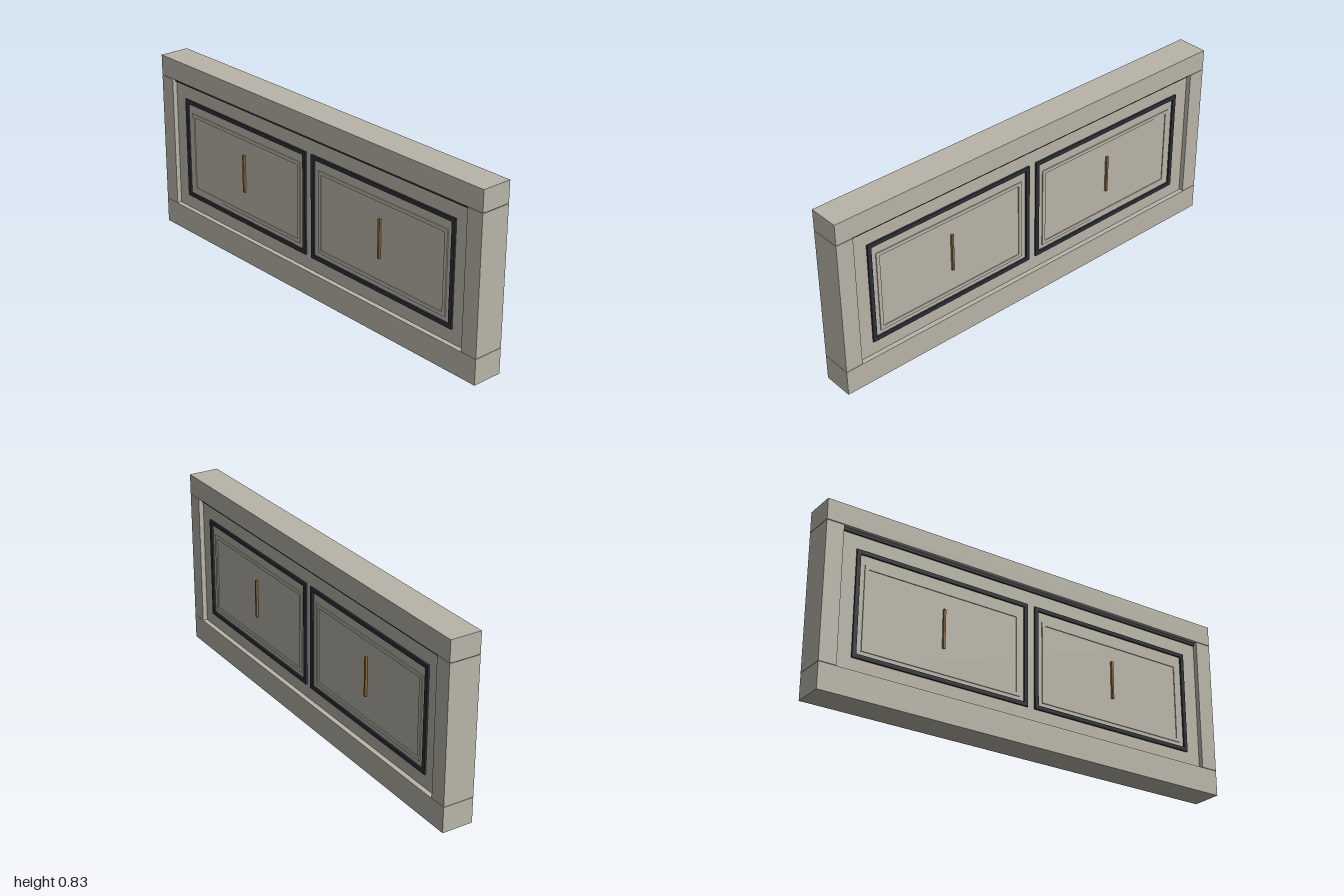
import * as THREE from 'three';

const stone = new THREE.MeshStandardMaterial({ color: 0xb8b4a8 });
const dark = new THREE.MeshStandardMaterial({ color: 0x2b2f35 });
const bronze = new THREE.MeshStandardMaterial({ color: 0x8a6a3e });

// Box given by its limits on each axis
function box(name, mat, [x0, x1], [y0, y1], [z0, z1]) {
  const mesh = new THREE.Mesh(new THREE.BoxGeometry(x1 - x0, y1 - y0, z1 - z0), mat);
  mesh.position.set((x0 + x1) / 2, (y0 + y1) / 2, (z0 + z1) / 2);
  mesh.name = name;
  return mesh;
}

function rectangle(path, x0, x1, y0, y1) {
  path.moveTo(x0, y0);
  path.lineTo(x1, y0);
  path.lineTo(x1, y1);
  path.lineTo(x0, y1);
  path.closePath();
  return path;
}

// Rectangular picture-frame moulding of width w, from depth z0 to z1
function frame(name, mat, [x0, x1], [y0, y1], w, [z0, z1]) {
  const shape = rectangle(new THREE.Shape(), x0, x1, y0, y1);
  shape.holes.push(rectangle(new THREE.Path(), x0 + w, x1 - w, y0 + w, y1 - w));
  const geometry = new THREE.ExtrudeGeometry(shape, { depth: z1 - z0, bevelEnabled: false });
  const mesh = new THREE.Mesh(geometry, mat);
  mesh.position.z = z0;
  mesh.name = name;
  return mesh;
}

// Two framed panels with their mouldings and inlays, facing +z
function createFace(name) {
  const face = new THREE.Group();
  face.name = name;
  for (const side of [-1, 1]) {
    const cx = side * 0.434;
    const panel = new THREE.Group();
    panel.name = side < 0 ? 'rightPanel' : 'leftPanel';
    panel.position.x = cx;
    panel.add(
      frame('darkFrame', dark, [-0.416, 0.416], [0.178, 0.652], 0.018, [0.04, 0.056]),
      frame('panelMoulding', stone, [-0.375, 0.375], [0.215, 0.592], 0.016, [0.04, 0.052]),
      box('inlay', bronze, [-0.005, 0.005], [0.33, 0.505], [0.04, 0.058])
    );
    face.add(panel);
  }
  return face;
}

export function createModel() {
  const model = new THREE.Group();
  model.name = 'panelledWall';

  // Main body
  model.add(
    box('base', stone, [-1, 1], [0, 0.115], [-0.07, 0.07]),
    box('cap', stone, [-1, 1], [0.732, 0.826], [-0.07, 0.07]),
    box('core', stone, [-0.94, 0.94], [0.1, 0.74], [-0.048, 0.048]),
    box('shadowStrip', dark, [-0.998, 0.998], [0.716, 0.733], [-0.055, 0.055])
  );

  // End posts
  for (const side of [-1, 1]) {
    const xs = side < 0 ? [-1, -0.922] : [0.922, 1];
    model.add(box(side < 0 ? 'rightPost' : 'leftPost', stone, xs, [0.117, 0.729], [-0.07, 0.07]));
  }

  // Same decoration on both sides
  const back = createFace('backFace');
  back.rotation.y = Math.PI;
  model.add(createFace('frontFace'), back);
  return model;
}
